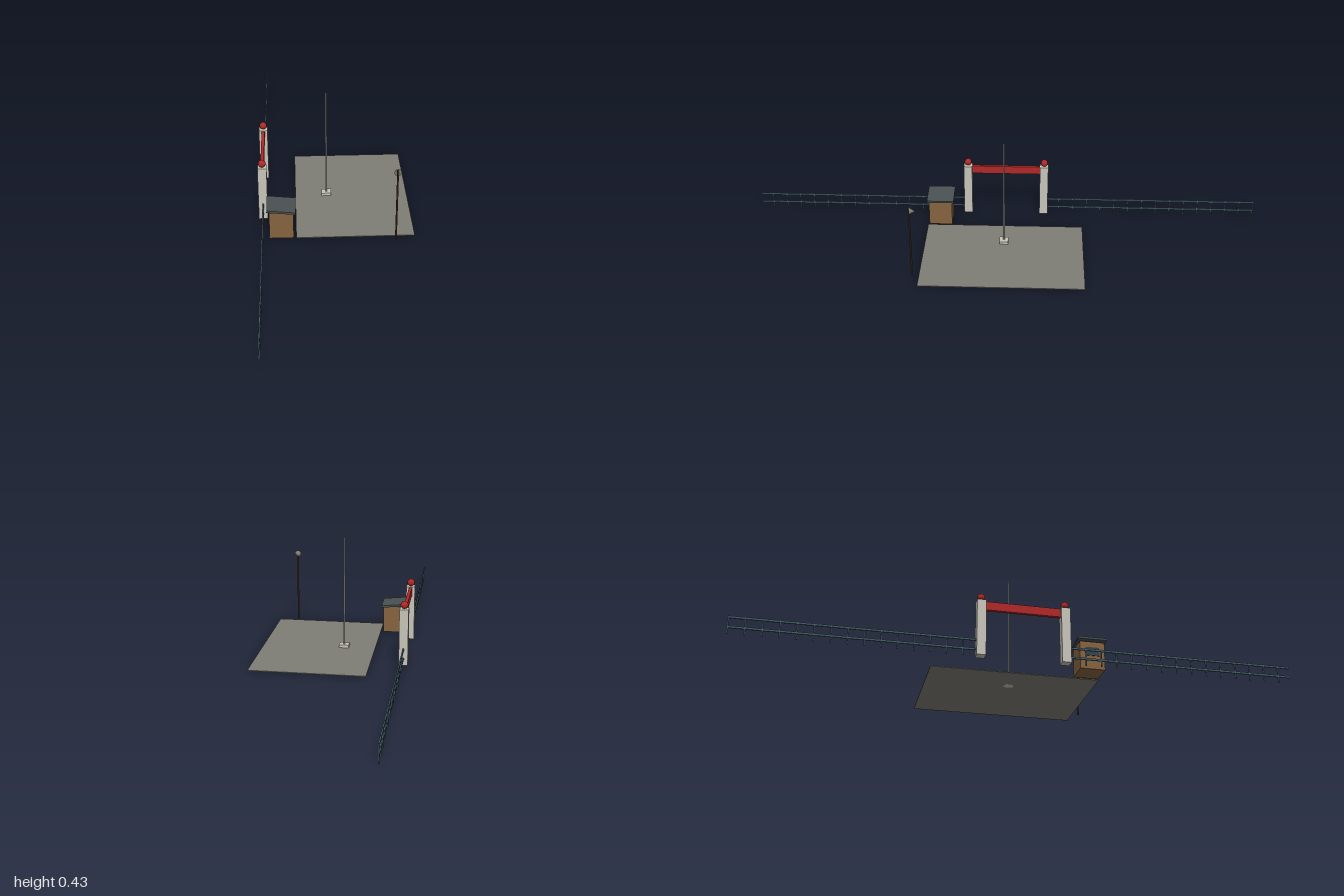
import * as THREE from 'three';

const mat = (name, color) => {
  const m = new THREE.MeshStandardMaterial({ color });
  m.name = name;
  return m;
};

export function createModel() {
  const stone = mat('pale stone', 0xc8c4bb);
  const paving = mat('grey paving', 0x7f7e75);
  const wood = mat('brown wood', 0x86633f);
  const darkWood = mat('dark wood', 0x4a3524);
  const slate = mat('dark slate', 0x4a5153);
  const red = mat('red', 0xb02828);
  const iron = mat('blue grey iron', 0x45606b);
  const metal = mat('light metal', 0xb9b8b3);
  const horn = mat('horn grey', 0x807c70);
  const glass = mat('dark window', 0x34444c);

  const model = new THREE.Group();
  model.name = 'gatedYard';

  const add = (name, geometry, material, x, y, z, parent = model) => {
    const mesh = new THREE.Mesh(geometry, material);
    mesh.name = name;
    mesh.position.set(x, y, z);
    parent.add(mesh);
    return mesh;
  };
  const box = (name, w, h, d, material, x, y, z, parent) =>
    add(name, new THREE.BoxGeometry(w, h, d), material, x, y, z, parent);
  const group = (name) => {
    const g = new THREE.Group();
    g.name = name;
    model.add(g);
    return g;
  };

  // Paved yard
  box('yard', 0.428, 0.003, 0.614, paving, 0.067, 0.0015, 0);

  // Gate: two pillars with balls and a banner beam between them
  const lineX = -0.267;
  const gate = group('gate');
  for (const side of [-1, 1]) {
    box('gatePillar', 0.033, 0.211, 0.033, stone, lineX, 0.1055, side * 0.152, gate);
    add('pillarBall', new THREE.SphereGeometry(0.014, 20, 14), red, lineX, 0.225, side * 0.152, gate);
  }
  box('gateBanner', 0.012, 0.032, 0.272, red, lineX, 0.193, 0, gate);

  // Fence runs on both sides of the gate
  const fence = group('fence');
  const length = 0.832;
  for (const start of [-1, 0.168]) {
    for (const y of [0.025, 0.061]) {
      box('fenceRail', 0.005, 0.007, length, iron, lineX, y, start + length / 2, fence);
    }
    for (let i = 0; i < 15; i++) {
      box('fencePost', 0.0036, 0.066, 0.0045, iron, lineX, 0.033, start + 0.002 + i * 0.056, fence);
    }
  }

  // Guard hut with a sloping roof and a window towards the gate
  const hut = group('hut');
  box('hutBody', 0.087, 0.105, 0.091, wood, -0.1995, 0.0525, 0.257, hut);
  box('hutWindow', 0.003, 0.032, 0.05, glass, -0.2435, 0.067, 0.257, hut);
  const roof = box('hutRoof', 0.104, 0.008, 0.106, slate, -0.2, 0.1105, 0.257, hut);
  roof.rotation.z = -0.105;

  // Flag mast on a square plinth
  const mast = group('mast');
  box('mastBase', 0.037, 0.014, 0.034, stone, -0.028, 0.007, 0, mast);
  add('mastPole', new THREE.CylinderGeometry(0.0027, 0.0033, 0.418, 10), metal, -0.028, 0.221, 0, mast);

  // Loudspeaker post with a cone pointing into the yard
  const speaker = group('loudspeaker');
  add('speakerPost', new THREE.CylinderGeometry(0.0033, 0.0033, 0.288, 8), darkWood, 0.21, 0.144, 0.332, speaker);
  const cone = add('speakerHorn', new THREE.ConeGeometry(0.0135, 0.023, 10), horn, 0.21, 0.2775, 0.3205, speaker);
  cone.rotation.x = -Math.PI / 2;

  return model;
}
